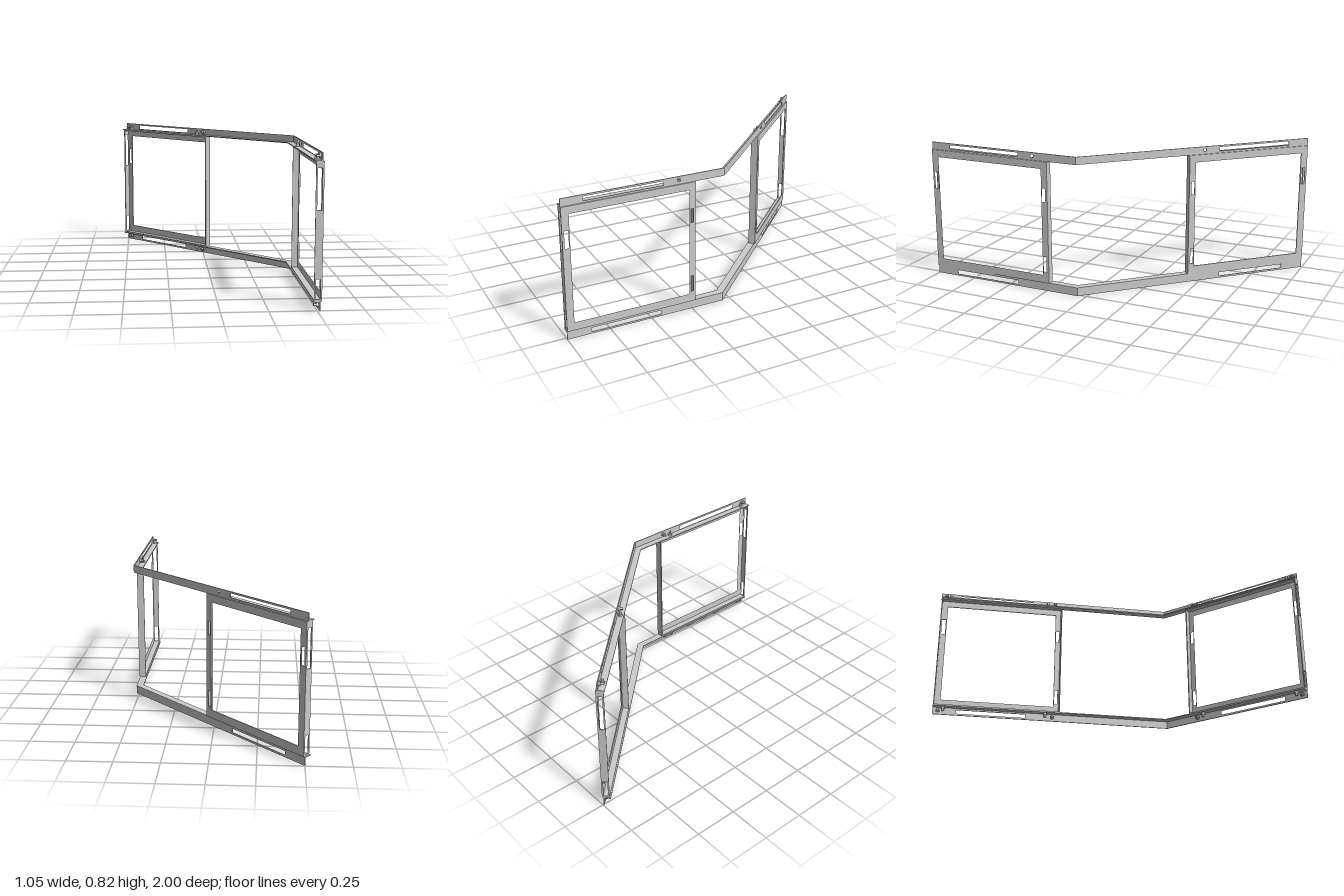
import * as THREE from 'three';

const T = 0.006;            // sheet thickness
const W = 0.042;            // flange depth
const H = 0.82;             // overall height
const Y0 = 0.05, Y1 = 0.775; // window frame bottom and top
const FRAME = 0.77;         // window frame length
const mat = new THREE.MeshStandardMaterial({ color: 0xcccccc });

function path(P, points) {
  points.forEach(([x, y], i) => (i ? P.lineTo(x, y) : P.moveTo(x, y)));
  P.closePath();
  return P;
}
const rect = (a, b, c, d) => [[a, c], [b, c], [b, d], [a, d]];

// Flat sheet in the xy plane with cut-outs, thickened along +z
function sheet(outline, holes = [], depth = T) {
  const shape = path(new THREE.Shape(), outline);
  holes.forEach((h) => shape.holes.push(path(new THREE.Path(), h)));
  return new THREE.ExtrudeGeometry(shape, { depth, bevelEnabled: false });
}

function add(parent, name, geometry) {
  const m = new THREE.Mesh(geometry, mat);
  m.name = name;
  parent.add(m);
  return m;
}

// One arm: u runs away from the outer corner (direction s along x), z is outward
function makeArm(name, s, length, start) {
  const arm = new THREE.Group();
  arm.name = name;
  const R = (a, b, c, d) => rect(s * a, s * b, c, d);
  const end = start + FRAME;

  // Window frame: face plate with opening and fixing slots
  const front = 0.007;
  const frame = new THREE.Group();
  frame.name = 'windowFrame';
  arm.add(frame);
  add(frame, 'facePlate', sheet(R(start, end, Y0, Y1), [
    R(start + 0.038, end - 0.042, 0.098, 0.732),
    R(start + 0.014, start + 0.033, 0.54, 0.62),
    R(start + 0.014, start + 0.033, 0.115, 0.21),
    R(end - 0.035, end - 0.012, 0.54, 0.64),
  ])).position.z = front - T;

  // Top and bottom flanges of the window frame
  for (const y of [Y0, Y1 - T]) {
    add(frame, 'longFlange', new THREE.BoxGeometry(FRAME, T, W - T))
      .position.set(s * (start + FRAME / 2), y + T / 2, front - (W + T) / 2);
  }
  // End flanges, the far one slotted
  const endSlots = [rect(0.009, 0.034, 0.525, 0.74), rect(0.009, 0.034, 0.06, 0.165)];
  [[start + T / 2, []], [end - T / 2, endSlots]].forEach(([u, holes]) => {
    const g = sheet(rect(T, W, Y0, Y1), holes);
    g.translate(0, 0, -T / 2).rotateY(Math.PI / 2);
    add(frame, 'endFlange', g).position.set(s * u, 0, front);
  });

  // Angle rails above and below the frame
  for (const top of [true, false]) {
    const rail = new THREE.Group();
    rail.name = top ? 'topRail' : 'bottomRail';
    arm.add(rail);
    const cuts = top
      ? [R(start + 0.19, start + 0.645, 0.786, 0.81), R(start + 0.09, start + 0.105, 0.792, 0.808)]
      : [R(start + 0.21, start + 0.63, 0.011, 0.035)];
    add(rail, 'railWeb', sheet(top ? R(0, length, Y1, H) : R(0, length, 0, Y0), cuts))
      .position.z = -T;

    // Horizontal flange, mitred at the corner
    const flange = sheet([[0, 0], [s * length, 0], [s * length, W], [s * W * 0.404, W]]);
    flange.rotateX(-Math.PI / 2);
    add(rail, 'railFlange', flange).position.y = top ? Y1 : Y0 - T;

    // Bolts at both ends of the frame: one upright and one crosswise each
    const base = top ? Y1 + T : Y0 - T;
    const dir = top ? 1 : -1;
    for (const u of [start + 0.09, end - 0.06]) {
      add(rail, 'uprightNut', new THREE.CylinderGeometry(0.012, 0.012, 0.012, 6))
        .position.set(s * u, base + dir * 0.006, -0.022);
      add(rail, 'uprightBolt', new THREE.CylinderGeometry(0.007, 0.007, 0.026, 12))
        .position.set(s * u, base + dir * 0.013, -0.022);
    }
    for (const u of [start + 0.045, end - 0.03]) {
      const y = base + dir * 0.019;
      add(rail, 'crossNut', new THREE.CylinderGeometry(0.013, 0.013, 0.011, 6).rotateX(Math.PI / 2))
        .position.set(s * u, y, -T - 0.0055);
      add(rail, 'crossBolt', new THREE.CylinderGeometry(0.007, 0.007, 0.026, 12).rotateX(Math.PI / 2))
        .position.set(s * u, y, -T - 0.013);
    }
  }
  return arm;
}

export function createModel() {
  const model = new THREE.Group();
  model.name = 'angledWindowFrame';

  // Straight arm toward the front
  const straight = makeArm('straightArm', -1, 0.95, 0.18);
  straight.rotation.y = Math.PI / 2;
  // Long arm running diagonally to the back
  const diagonal = makeArm('diagonalArm', 1, 1.457, 0.685);
  diagonal.rotation.y = 2.342;
  for (const arm of [straight, diagonal]) {
    arm.position.set(0.517, 0, 0.05);
    // Flange flips inward: the sheet was laid toward -z by its rotation
    model.add(arm);
  }
  return model;
}
